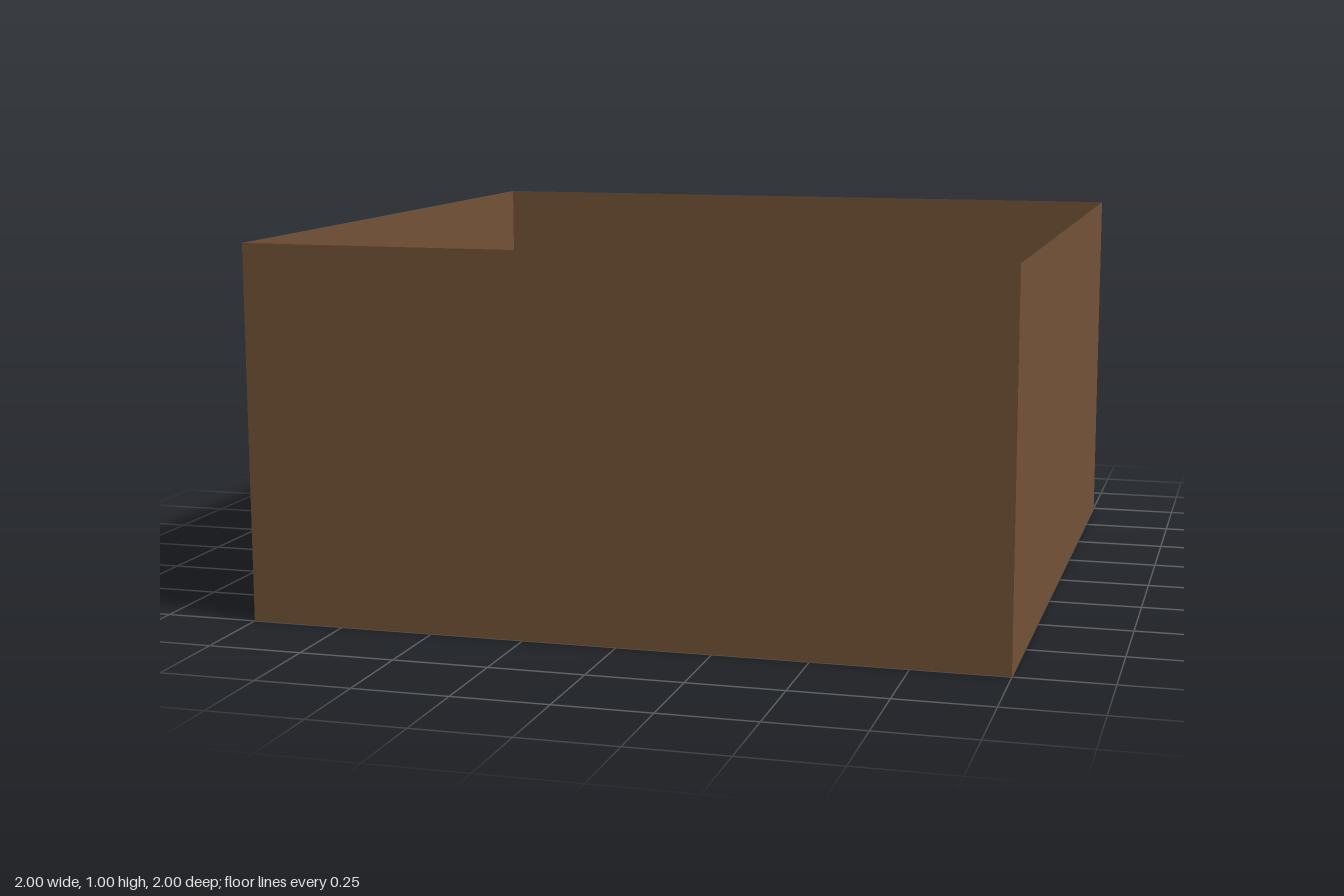
import * as THREE from 'three';

export function createModel() {
  const room = new THREE.Group();
  room.name = 'room';

  const mat = (name, color, side = THREE.FrontSide) => {
    const m = new THREE.MeshStandardMaterial({ color, side });
    m.name = name;
    return m;
  };
  const wallWood = mat('dark wall wood', 0x745337, THREE.DoubleSide);
  const floorWood = mat('tan floor wood', 0xbd894e, THREE.DoubleSide);
  const greyWood = mat('grey wood', 0x9f8e83);
  const rugRed = mat('rug red', 0x89433a);
  const darkBrown = mat('dark brown', 0x65544a);

  const add = (parent, name, geometry, material, x = 0, y = 0, z = 0) => {
    const mesh = new THREE.Mesh(geometry, material);
    mesh.name = name;
    mesh.position.set(x, y, z);
    parent.add(mesh);
    return mesh;
  };
  const group = (name, x, y, z) => {
    const g = new THREE.Group();
    g.name = name;
    g.position.set(x, y, z);
    room.add(g);
    return g;
  };
  // Round rod between two points
  const rod = (parent, name, a, b, radius, material, sides = 12) => {
    const dir = b.clone().sub(a);
    const mesh = add(parent, name, new THREE.CylinderGeometry(radius, radius, dir.length(), sides), material);
    mesh.position.copy(a).add(b).multiplyScalar(0.5);
    mesh.quaternion.setFromUnitVectors(new THREE.Vector3(0, 1, 0), dir.normalize());
    return mesh;
  };
  const v = (x, y, z) => new THREE.Vector3(x, y, z);

  // Floor and four thin walls, open at the top
  add(room, 'floor', new THREE.PlaneGeometry(2, 2).rotateX(-Math.PI / 2), floorWood, 0, 0.002, 0);
  ['frontWall', 'leftWall', 'backWall', 'rightWall'].forEach((name, i) => {
    const wall = new THREE.PlaneGeometry(2, 1).translate(0, 0.5, 1).rotateY(i * Math.PI / 2);
    add(room, name, wall, wallWood);
  });

  // Rug set into the floor
  add(room, 'rug', new THREE.BoxGeometry(0.27, 0.006, 0.215), rugRed, -0.575, 0.003, -0.3);

  // Table with four square legs
  const table = group('table', -0.505, 0, -0.653);
  add(table, 'tableTop', new THREE.BoxGeometry(0.7, 0.012, 0.395), greyWood, 0, 0.294, 0);
  for (const sx of [-1, 1]) {
    for (const sz of [-1, 1]) {
      add(table, 'tableLeg', new THREE.BoxGeometry(0.05, 0.288, 0.05), greyWood, sx * 0.292, 0.145, sz * 0.14);
    }
  }

  // Round stool on three splayed legs
  const stool = group('stool', -0.325, 0, -0.292);
  add(stool, 'seat', new THREE.CylinderGeometry(0.075, 0.075, 0.02, 32), greyWood, 0, 0.19, 0);
  for (let i = 0; i < 3; i++) {
    const a = i * Math.PI * 2 / 3;
    const c = Math.cos(a), s = Math.sin(a);
    rod(stool, 'stoolLeg', v(0.045 * c, 0.185, 0.045 * s), v(0.1 * c, 0.006, 0.1 * s), 0.014, greyWood);
  }

  // Small pen near the table's front edge
  const pen = group('pen', -0.455, 0.306, -0.485);
  rod(pen, 'penBody', v(-0.032, 0, 0), v(0.032, 0, 0), 0.006, darkBrown);

  // Small crossed ornament with pronged ends
  const ornament = group('crossedOrnament', -0.26, 0.304, -0.71);
  for (let i = 0; i < 4; i++) {
    const arm = new THREE.Group();
    arm.name = 'ornamentArm';
    arm.rotation.y = Math.PI / 4 + i * Math.PI / 2;
    ornament.add(arm);
    rod(arm, 'armRod', v(0, 0.002, 0), v(0.053, 0.002, 0), 0.0035, darkBrown, 8);
    rod(arm, 'armProng', v(0.038, 0.002, -0.014), v(0.038, 0.002, 0.014), 0.003, darkBrown, 8);
  }

  return room;
}
